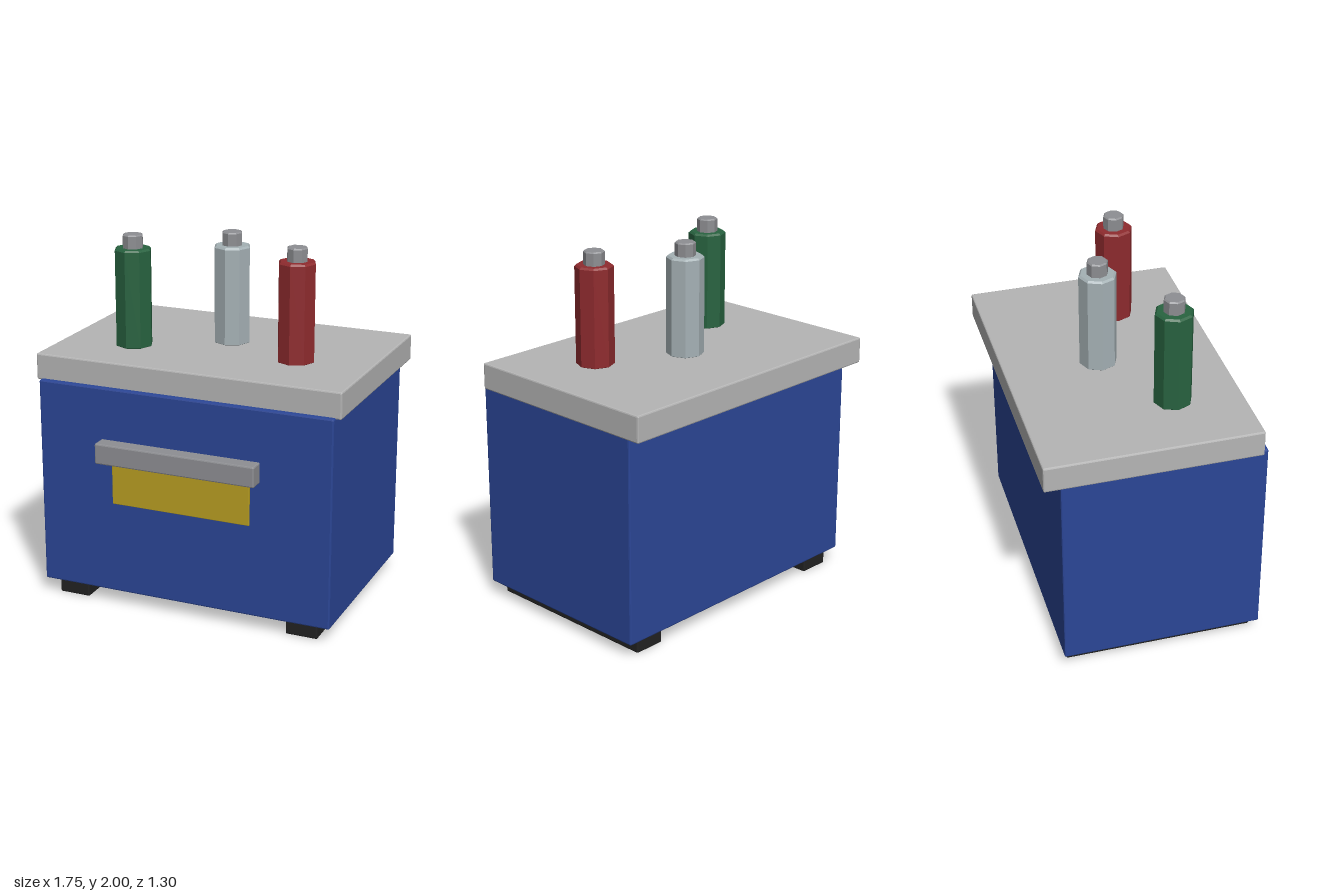
import * as THREE from 'three';
import { RoundedBoxGeometry } from 'three/addons/geometries/RoundedBoxGeometry.js';

const paint = (color) => new THREE.MeshStandardMaterial({ color, flatShading: true });

// Box with slightly bevelled edges, given by its limits on each axis
function bevelBox(name, [x0, x1], [y0, y1], [z0, z1], material, bevel = 0.008) {
  const mesh = new THREE.Mesh(
    new RoundedBoxGeometry(x1 - x0, y1 - y0, z1 - z0, 1, bevel), material);
  mesh.position.set((x0 + x1) / 2, (y0 + y1) / 2, (z0 + z1) / 2);
  mesh.name = name;
  return mesh;
}

// Octagonal post with bevelled rims
function bevelPost(name, radius, y0, y1, bevel, material) {
  const profile = [
    [0, y0], [radius - bevel, y0], [radius, y0 + bevel],
    [radius, y1 - bevel], [radius - bevel, y1], [0, y1],
  ].map(([r, y]) => new THREE.Vector2(r, y));
  const mesh = new THREE.Mesh(new THREE.LatheGeometry(profile, 8), material);
  mesh.name = name;
  return mesh;
}

export function createModel() {
  const model = new THREE.Group();
  model.name = 'cabinet';

  const blue = paint(0x2b4696);
  const lidGrey = paint(0xb5b5b5);
  const metal = paint(0x8e8f93);
  const black = paint(0x222222);
  const yellow = paint(0xb89e22);

  // Cabinet body and the lid set towards the back
  model.add(bevelBox('body', [-0.843, 0.843], [0.082, 1.246], [-0.556, 0.544], blue));
  model.add(bevelBox('lid', [-0.873, 0.873], [1.237, 1.383], [-0.65, 0.512], lidGrey));

  // Long runners under both sides
  for (const side of [-1, 1]) {
    const edges = [side * 0.587, side * 0.767].sort((a, b) => a - b);
    model.add(bevelBox(side > 0 ? 'leftRunner' : 'rightRunner',
      edges, [0, 0.09], [-0.53, 0.516], black));
  }

  // Front plate with the handle bar across its top
  model.add(bevelBox('frontPlate', [-0.4, 0.396], [0.607, 0.965], [0.555, 0.57], yellow, 0.003));
  model.add(bevelBox('handle', [-0.46, 0.455], [0.855, 0.97], [0.562, 0.652], metal));

  // Terminal posts, each with a stud on top
  const posts = [
    ['greenTerminal', -0.465, 0.142, 0x286340],
    ['greyTerminal', 0, -0.133, 0xa5b1b5],
    ['redTerminal', 0.46, 0.082, 0x8f2b2e],
  ];
  for (const [name, x, z, color] of posts) {
    const terminal = new THREE.Group();
    terminal.name = name;
    terminal.position.set(x, 0, z);
    terminal.add(bevelPost('post', 0.103, 1.375, 1.925, 0.01, paint(color)));
    terminal.add(bevelPost('stud', 0.057, 1.9, 2, 0.007, metal));
    model.add(terminal);
  }

  return model;
}
